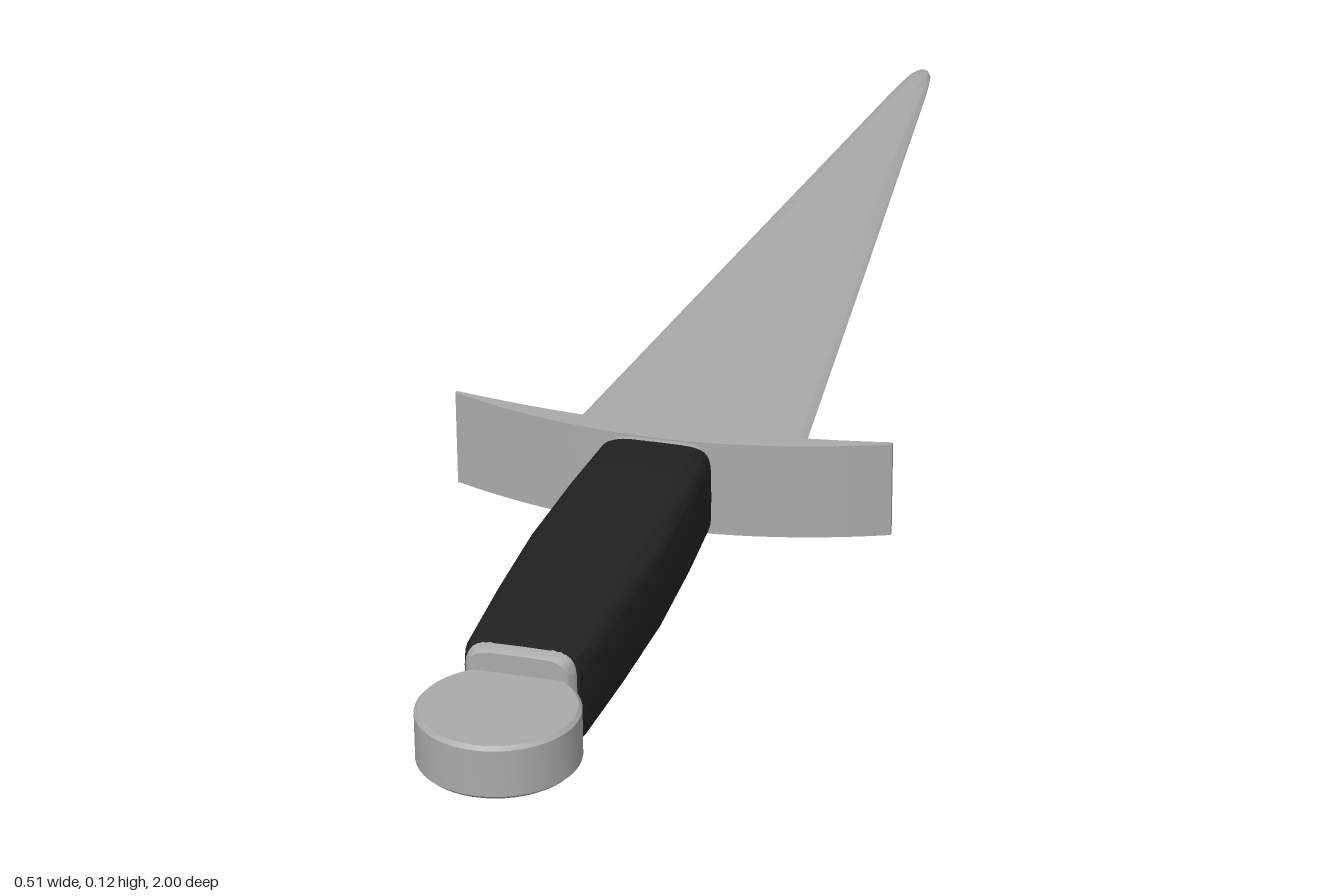
import * as THREE from 'three';
import { toCreasedNormals } from 'three/addons/utils/BufferGeometryUtils.js';

const MID = 0.062; // height of the dagger's centre plane

// Closed loft along +z. Each section is [z, halfWidth, halfHeight]; power below 1 squares the outline.
function loft(sections, power, sides = 32) {
  const pos = [], index = [];
  const bend = v => Math.sign(v) * Math.abs(v) ** power;
  for (const [z, w, h] of sections) {
    for (let j = 0; j < sides; j++) {
      const a = (j / sides) * Math.PI * 2;
      pos.push(w * bend(Math.cos(a)), MID + h * bend(Math.sin(a)), z);
    }
  }
  const last = sections.length - 1;
  const c0 = pos.length / 3, c1 = c0 + 1;
  pos.push(0, MID, sections[0][0], 0, MID, sections[last][0]);
  for (let j = 0; j < sides; j++) {
    const k = (j + 1) % sides;
    for (let i = 0; i < last; i++) {
      const a = i * sides + j, b = i * sides + k;
      index.push(a, b, b + sides, a, b + sides, a + sides);
    }
    index.push(c0, k, j, c1, last * sides + j, last * sides + k);
  }
  const g = new THREE.BufferGeometry();
  g.setAttribute('position', new THREE.Float32BufferAttribute(pos, 3));
  g.setIndex(index);
  return toCreasedNormals(g, 0.8);
}

export function createModel() {
  const group = new THREE.Group();
  const steel = new THREE.MeshStandardMaterial({ color: 0xaaaaaa });
  steel.name = 'steel';
  const leather = new THREE.MeshStandardMaterial({ color: 0x222222 });
  leather.name = 'black leather';
  const add = (name, geometry, material) => {
    const mesh = new THREE.Mesh(geometry, material);
    mesh.name = name;
    group.add(mesh);
    return mesh;
  };

  // Long tapering blade with a small rounded tip
  add('blade', loft([
    [-1, 0.003, 0.002], [-0.995, 0.008, 0.004], [-0.98, 0.014, 0.006], [-0.95, 0.019, 0.007],
    [-0.9, 0.025, 0.007], [-0.3, 0.086, 0.007], [0.31, 0.147, 0.008],
  ], 1), steel);

  // Curved guard, thick at the middle and thin at the ends
  const half = 0.257, steps = 24;
  const outline = [];
  for (let i = 0; i <= steps; i++) {
    const t = -1 + (2 * i) / steps;
    outline.push(new THREE.Vector2(t * half, 0.303 - 0.026 * t * t));
  }
  for (let i = steps; i >= 0; i--) {
    const t = -1 + (2 * i) / steps;
    outline.push(new THREE.Vector2(t * half, 0.335 - 0.053 * t * t));
  }
  const guard = new THREE.ExtrudeGeometry(new THREE.Shape(outline), { depth: 0.114, bevelEnabled: false });
  guard.rotateX(Math.PI / 2).translate(0, MID + 0.057, 0);
  add('guard', toCreasedNormals(guard, 0.6), steel);

  // Steel collar and end cap at the two ends of the grip
  add('collar', loft([[0.325, 0.06, 0.055], [0.35, 0.06, 0.055]], 0.4), steel);
  add('endCap', loft([[0.82, 0.059, 0.056], [0.843, 0.059, 0.056], [0.85, 0.054, 0.052]], 0.35), steel);

  // Grip swelling slightly in the middle
  add('grip', loft([
    [0.336, 0.062, 0.053], [0.35, 0.066, 0.058], [0.45, 0.072, 0.059], [0.58, 0.076, 0.06],
    [0.7, 0.073, 0.059], [0.82, 0.067, 0.058], [0.836, 0.062, 0.056],
  ], 0.4, 40), leather);

  // Disc pommel with softened rims
  const profile = [[0, -0.03], [0.081, -0.03], [0.085, -0.026], [0.085, 0.026], [0.081, 0.03], [0, 0.03]];
  const disc = new THREE.LatheGeometry(profile.map(p => new THREE.Vector2(...p)), 48);
  add('pommel', toCreasedNormals(disc, 0.6), steel).position.set(0, MID, 0.915);

  return group;
}
